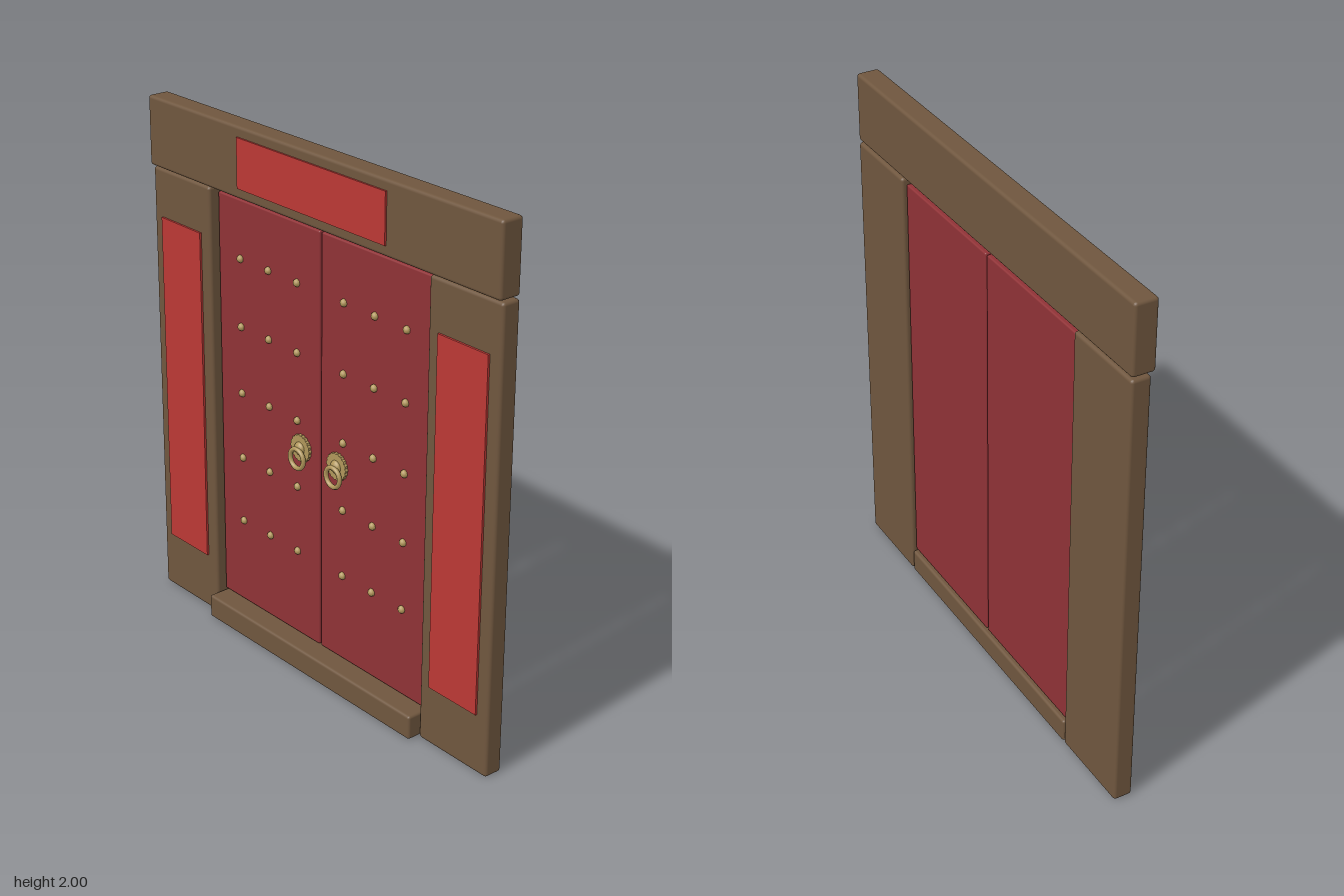
import * as THREE from 'three';
import { RoundedBoxGeometry } from 'three/addons/geometries/RoundedBoxGeometry.js';

function material(name, color) {
  const m = new THREE.MeshStandardMaterial({ color });
  m.name = name;
  return m;
}

export function createModel() {
  const wood = material('brownWood', 0x6f563e);
  const doorRed = material('darkRedLacquer', 0x8f3236);
  const paperRed = material('brightRedPaper', 0xbb3835);
  const brass = material('agedBrass', 0xb0965a);
  const group = new THREE.Group();
  group.name = 'doubleDoor';

  const add = (parent, name, geometry, mat, x = 0, y = 0, z = 0) => {
    const mesh = new THREE.Mesh(geometry, mat);
    mesh.name = name;
    mesh.position.set(x, y, z);
    parent.add(mesh);
    return mesh;
  };

  // Box given by its limits, with softened edges when a bevel is set
  const block = (parent, name, mat, [x0, x1], [y0, y1], [z0, z1], bevel = 0) => {
    const size = [x1 - x0, y1 - y0, z1 - z0];
    const geometry = bevel ? new RoundedBoxGeometry(...size, 2, bevel) : new THREE.BoxGeometry(...size);
    return add(parent, name, geometry, mat, (x0 + x1) / 2, (y0 + y1) / 2, (z0 + z1) / 2);
  };

  // Frame: lintel with plaque, and threshold
  const back = -0.058;
  block(group, 'lintel', wood, [-0.92, 0.92], [1.737, 2], [back, 0.03], 0.012);
  block(group, 'lintelPlaque', paperRed, [-0.39, 0.39], [1.777, 1.962], [0.029, 0.037]);
  block(group, 'threshold', wood, [-0.576, 0.576], [0, 0.093], [back, 0.058], 0.01);

  // Shared hardware geometry
  const doorFront = -0.018;
  const studGeometry = new THREE.SphereGeometry(0.015, 10, 5, 0, Math.PI * 2, 0, Math.PI / 2).rotateX(Math.PI / 2);
  const ringGeometry = new THREE.TorusGeometry(0.037, 0.009, 8, 24);

  // Scalloped back plate of a handle
  const outline = [];
  for (let i = 0; i < 72; i++) {
    const a = (i / 72) * Math.PI * 2;
    const r = 0.051 + 0.002 * Math.cos(a * 18);
    outline.push(new THREE.Vector2(r * Math.cos(a), r * Math.sin(a)));
  }
  const plateGeometry = new THREE.ExtrudeGeometry(new THREE.Shape(outline), { depth: 0.012, bevelEnabled: false });
  const bossGeometry = new THREE.SphereGeometry(0.026, 16, 6, 0, Math.PI * 2, 0, Math.PI / 2)
    .rotateX(Math.PI / 2).scale(1, 1, 0.7);

  for (const side of [1, -1]) {
    const label = side > 0 ? 'left' : 'right';
    const span = (a, b) => (side > 0 ? [a, b] : [-b, -a]);

    // Side post and its hanging panel
    block(group, label + 'Post', wood, span(0.582, 0.92), [0, 1.729], [back, 0.015], 0.012);
    block(group, label + 'PostPanel', paperRed, span(0.634, 0.868), [0.23, 1.545], [0.014, 0.023]);

    // Door leaf
    const door = new THREE.Group();
    door.name = label + 'Door';
    group.add(door);
    block(door, label + 'DoorLeaf', doorRed, span(0.004, 0.573), [0.1, 1.711], [-0.045, doorFront], 0.006);

    // Grid of studs
    for (let row = 0; row < 5; row++)
      for (let col = 0; col < 3; col++)
        add(door, 'stud', studGeometry, brass, side * (0.126 + col * 0.16), 0.442 + row * 0.262, doorFront);

    // Handle: plate, boss and hanging ring
    const handle = new THREE.Group();
    handle.name = label + 'Handle';
    handle.position.set(side * 0.1, 0.868, doorFront);
    door.add(handle);
    add(handle, 'handlePlate', plateGeometry, brass);
    add(handle, 'handleBoss', bossGeometry, brass, 0, 0, 0.01);
    add(handle, 'handleRing', ringGeometry, brass, 0, -0.036, 0.026);
  }
  return group;
}
